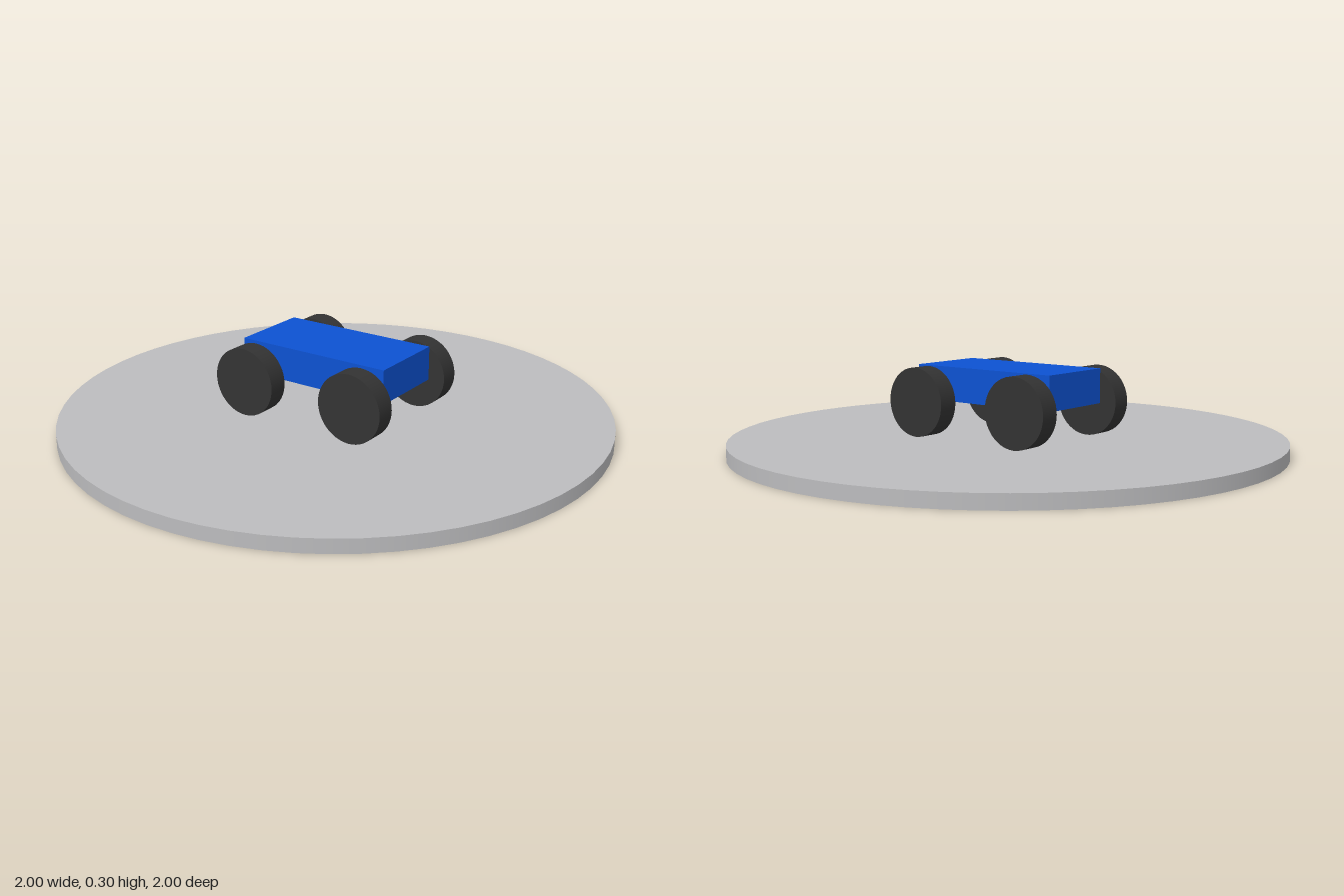
import * as THREE from 'three';

export function createModel() {
  const model = new THREE.Group();
  const plateGrey = new THREE.MeshStandardMaterial({ color: 0xbcbcbe });
  plateGrey.name = 'plateGrey';
  const bodyBlue = new THREE.MeshStandardMaterial({ color: 0x0d52d2 });
  bodyBlue.name = 'bodyBlue';
  const tyreBlack = new THREE.MeshStandardMaterial({ color: 0x333333 });
  tyreBlack.name = 'tyreBlack';

  function add(name, geometry, material, x, y, z) {
    const mesh = new THREE.Mesh(geometry, material);
    mesh.name = name;
    mesh.position.set(x, y, z);
    model.add(mesh);
  }

  // Round display plate
  add('basePlate', new THREE.CylinderGeometry(1, 1, 0.05, 64), plateGrey, 0, 0.025, 0);

  // Car body, its underside level with the wheel centres
  add('body', new THREE.BoxGeometry(0.6, 0.125, 0.3), bodyBlue, 0, 0.2375, 0);

  // Four wheels, set slightly clear of the body
  const wheel = new THREE.CylinderGeometry(0.125, 0.125, 0.075, 48).rotateX(Math.PI / 2);
  for (const [side, x] of [['left', 0.225], ['right', -0.225]]) {
    for (const [end, z] of [['Front', 0.2125], ['Back', -0.2125]]) {
      add(`${side}${end}Wheel`, wheel, tyreBlack, x, 0.175, z);
    }
  }
  return model;
}
